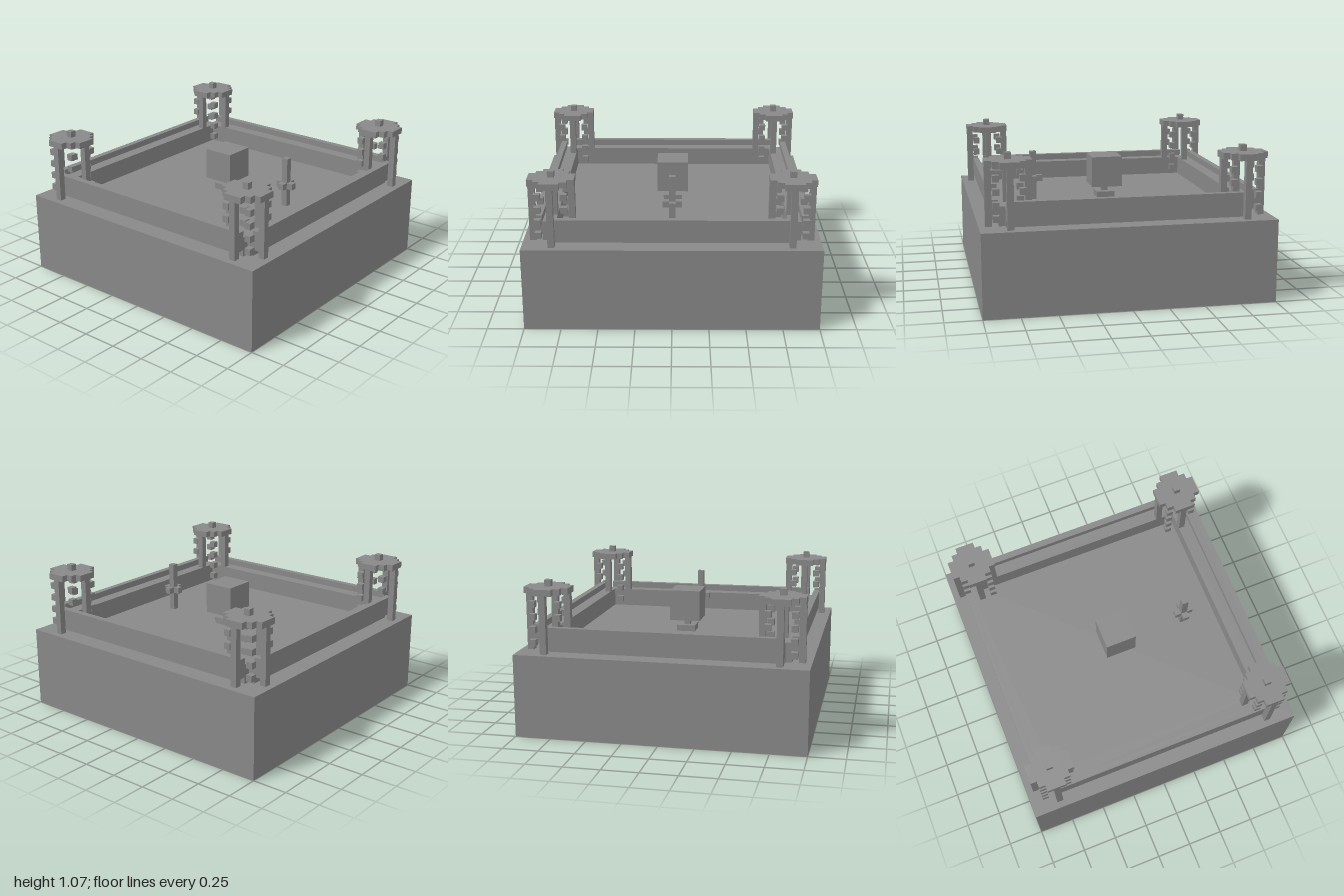
import * as THREE from 'three';

const U = 2 / 45;      // one block
const FLOOR = 13;      // height of the base in blocks
const stone = new THREE.MeshStandardMaterial({ color: 0x888888 });
stone.name = 'grey stone';

// Box in block units: centre x/z, bottom y, size w/h/d
function block(parent, name, x, y, z, w, h, d) {
  const mesh = new THREE.Mesh(new THREE.BoxGeometry(w * U, h * U, d * U), stone);
  mesh.position.set(x * U, (y + h / 2) * U, z * U);
  mesh.name = name;
  parent.add(mesh);
  return mesh;
}

function group(parent, name) {
  const g = new THREE.Group();
  g.name = name;
  parent.add(g);
  return g;
}

// Stepped disc, seven blocks across, one block thick
function steppedCap(parent, y) {
  const quarter = [[3.5, 1.5], [2.5, 1.5], [2.5, 2.5], [1.5, 2.5], [1.5, 3.5]];
  const points = [];
  for (let i = 0; i < 4; i++) {
    const c = [1, 0, -1, 0][i], s = [0, 1, 0, -1][i];
    for (const [a, b] of quarter) {
      points.push(new THREE.Vector2((a * c - b * s) * U, (a * s + b * c) * U));
    }
  }
  const geo = new THREE.ExtrudeGeometry(new THREE.Shape(points), { depth: U, bevelEnabled: false });
  geo.rotateX(-Math.PI / 2);
  const mesh = new THREE.Mesh(geo, stone);
  mesh.position.y = y * U;
  mesh.name = 'towerCap';
  parent.add(mesh);
}

// Four posts, four diagonals of floating blocks, cap and finial
function tower(parent, x, z) {
  const g = group(parent, 'tower');
  for (const [px, pz] of [[3, 0], [-3, 0], [0, 3], [0, -3]]) {
    block(g, 'towerPost', px, FLOOR, pz, 1, 9, 1);
  }
  for (const sx of [-1, 1]) for (const sz of [-1, 1]) {
    for (let row = 1; row <= 7; row += 2) {
      block(g, 'floatingBlock', 2 * sx, FLOOR + row, 2 * sz, 1, 1, 1);
    }
  }
  steppedCap(g, FLOOR + 9);
  block(g, 'towerFinial', 0, FLOOR + 10, 0, 1, 1, 1);
  g.position.set(x * U, 0, z * U);
}

// Walkway with an overhanging parapet on its outer side
function wall(parent, angle) {
  const g = group(parent, 'wall');
  block(g, 'walkway', 0, FLOOR, 18.5, 37, 3, 2);
  block(g, 'parapet', 0, FLOOR + 1, 20, 37, 3, 1);
  g.rotation.y = angle;
}

export function createModel() {
  const model = new THREE.Group();
  model.name = 'courtyard';
  block(model, 'base', 0, 0, 0, 45, FLOOR, 45);

  for (let i = 0; i < 4; i++) wall(model, i * Math.PI / 2);
  for (const sx of [-1, 1]) for (const sz of [-1, 1]) tower(model, 18 * sx, 18 * sz);

  // Cube on a small pedestal
  const monument = group(model, 'monument');
  block(monument, 'pedestal', 0, FLOOR, 0, 3, 1, 3);
  block(monument, 'stem', 0, FLOOR + 1, 0, 1, 1, 1);
  block(monument, 'cube', 0, FLOOR + 2, 0, 5, 5, 5);

  // Standing pole with four short arms
  const pole = group(model, 'armedPole');
  block(pole, 'pole', 0, FLOOR, 12, 1, 8, 1);
  for (const s of [-1, 1]) {
    block(pole, 'sideArm', s, FLOOR + 3, 12, 1, 1, 1);
    block(pole, 'frontBackArm', 0, FLOOR + 3, 12 + s, 1, 1, 1);
  }
  return model;
}
